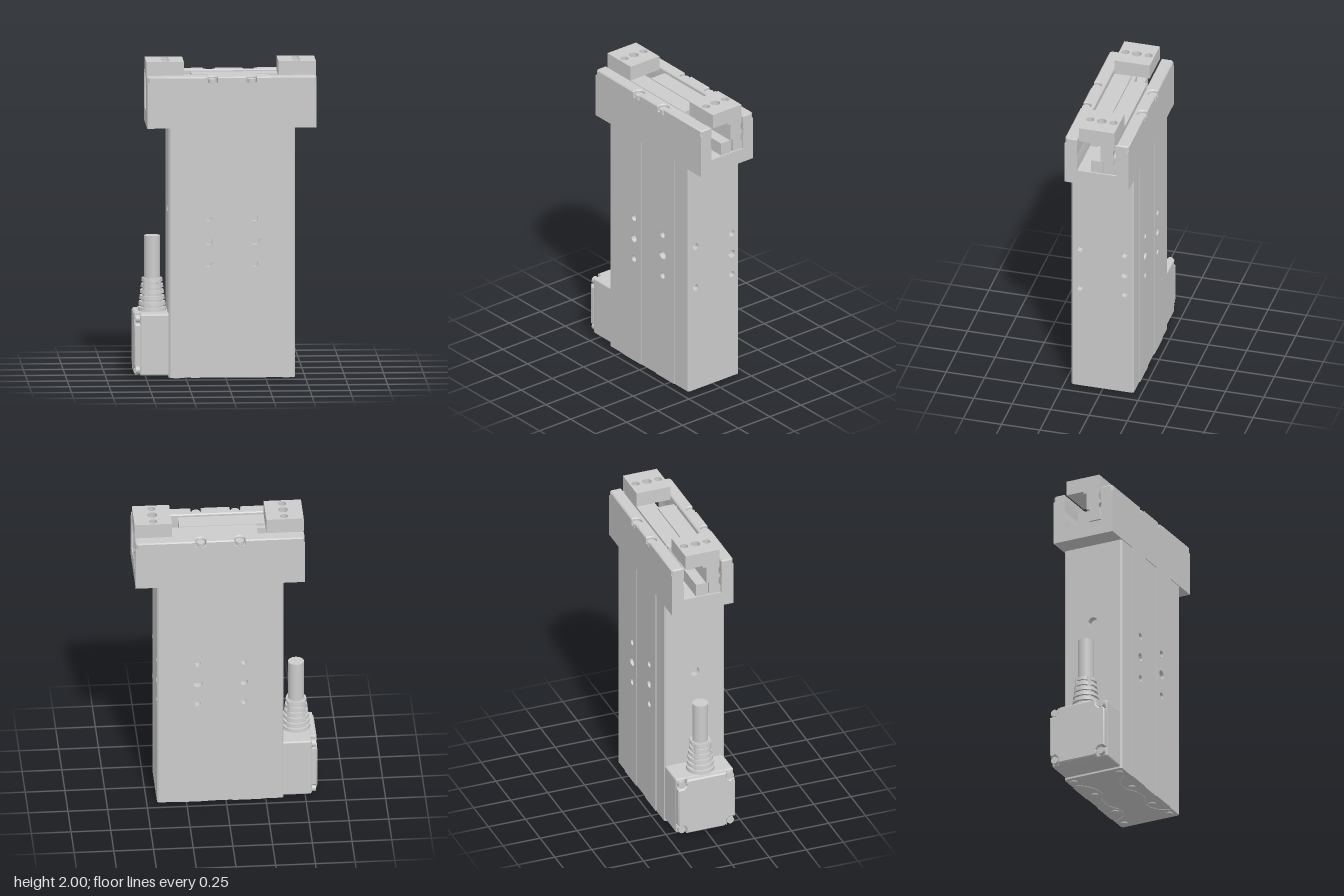
import * as THREE from 'three';
import { toCreasedNormals } from 'three/addons/utils/BufferGeometryUtils.js';
import { RoundedBoxGeometry } from 'three/addons/geometries/RoundedBoxGeometry.js';

const grey = new THREE.MeshStandardMaterial({ color: 0xcccccc });

const polygon = (pts) => new THREE.Shape(pts.map(([x, y]) => new THREE.Vector2(x, y)));

const rect = (x0, y0, x1, y1) => polygon([[x0, y0], [x1, y0], [x1, y1], [x0, y1]]);

// Extrude with an optional chamfer that stays inside the outline
function extrude(shape, depth, bevel = 0) {
  const geo = new THREE.ExtrudeGeometry(shape, {
    depth: depth - 2 * bevel, curveSegments: 16, bevelEnabled: bevel > 0,
    bevelSize: bevel, bevelThickness: bevel, bevelOffset: -bevel, bevelSegments: 1,
  });
  return toCreasedNormals(geo.translate(0, 0, bevel), 0.6);
}

// Outline in (x, -z), pushed up from y0 to y1
const alongY = (shape, y0, y1, bevel) =>
  extrude(shape, y1 - y0, bevel).rotateX(-Math.PI / 2).translate(0, y0, 0);

// Outline in (-z, y), pushed along x from x0 to x1
const alongX = (shape, x0, x1, bevel) =>
  extrude(shape, x1 - x0, bevel).rotateY(Math.PI / 2).translate(x0, 0, 0);

function withHoles(shape, holes) {
  for (const [x, y, rx, ry = rx] of holes) {
    shape.holes.push(new THREE.Path().absellipse(x, y, rx, ry, 0, Math.PI * 2, true));
  }
  return shape;
}

export function createModel() {
  const model = new THREE.Group();
  const add = (name, geo, parent = model) => {
    const mesh = new THREE.Mesh(geo, grey);
    mesh.name = name;
    parent.add(mesh);
    return mesh;
  };
  const box = (name, x0, x1, y0, y1, z0, z1) =>
    add(name, new THREE.BoxGeometry(x1 - x0, y1 - y0, z1 - z0)
      .translate((x0 + x1) / 2, (y0 + y1) / 2, (z0 + z1) / 2));
  const cylinder = (name, r0, r1, y0, y1, x, z, sides = 24) =>
    add(name, new THREE.CylinderGeometry(r1, r0, y1 - y0, sides).translate(x, (y0 + y1) / 2, z));

  // Body column, with channels that take the drilled strips
  const base = 0.008, bodyTop = 1.59;
  const half = [
    [0.435, 0.115], [0.395, 0.115], [0.395, 0.175], [0.435, 0.175], [0.435, 0.193], [0.425, 0.203],
    [0.3, 0.203], [0.3, 0.165], [0.115, 0.165], [0.115, 0.203], [-0.04, 0.203], [-0.04, 0.165],
    [-0.22, 0.165], [-0.22, 0.203], [-0.35, 0.203], [-0.36, 0.193], [-0.36, 0.05], [-0.32, 0.05],
  ];
  const mirrored = half.map(([x, p]) => [x, -p]).reverse();
  add('body', alongY(polygon([...half, ...mirrored]), base, bodyTop));

  // Drilled strips on front, back and sides
  const drilled = (x, slot) => [[x, 1.02, 0.021], [x, 0.875, slot ? 0.031 : 0.026, 0.026], [x, 0.73, 0.021]];
  for (const z0 of [0.165, -0.208]) {
    for (const [x0, x1, hx, slot] of [[-0.22, -0.04, -0.11, false], [0.115, 0.3, 0.18, true]]) {
      const pad = withHoles(rect(x0, base, x1, bodyTop), drilled(hx, slot));
      add('mountingPad', extrude(pad, 0.043).translate(0, 0, z0));
    }
  }
  for (const s of [-1, 1]) {
    const strip = withHoles(rect(s * 0.145 - 0.03, base, s * 0.145 + 0.03, bodyTop), drilled(s * 0.145, s < 0));
    add('sideStrip', alongX(strip, 0.395, 0.435));
  }
  add('motorSideStrip', alongX(withHoles(rect(-0.05, base, 0.05, bodyTop), [[0, 1.06, 0.032]]), -0.36, -0.32));

  // Underside screws and seal lines
  for (const s of [-1, 1]) {
    for (const x of [0.38, 0.2, -0.08, -0.31]) {
      cylinder('baseScrew', 0.022, 0.025, 0, base + 0.002, x, s * (x === 0.2 || x === -0.08 ? 0.13 : 0.16));
    }
    const path = new THREE.CatmullRomCurve3([
      [0.33, 0.19], [0.29, 0.12], [0.2, 0.09], [0.1, 0.13], [0.0, 0.12], [-0.08, 0.08], [-0.18, 0.1], [-0.26, 0.17],
    ].map(([x, z]) => new THREE.Vector3(x, base, s * z)));
    add('baseSeal', new THREE.TubeGeometry(path, 48, 0.005, 6));
  }

  // Gripper head: a channel along x
  const x0 = -0.495, x1 = 0.57, floor = 1.685, wallTop = 1.875;
  add('headChannel', alongX(polygon([
    [-0.208, 1.59], [0.208, 1.59], [0.208, wallTop], [0.127, wallTop], [0.127, 1.84], [0.132, 1.81], [0.127, 1.78],
    [0.127, floor], [-0.127, floor], [-0.127, 1.78], [-0.132, 1.81], [-0.127, 1.84], [-0.127, wallTop], [-0.208, wallTop],
  ]), x0, x1));

  // Wall caps with round-ended screw notches
  const notches = [-0.085, 0.162];
  for (const s of [-1, 1]) {
    const cap = new THREE.Shape().moveTo(x0, -0.195);
    cap.lineTo(x0 + 0.013, -0.208);
    for (const x of notches) {
      cap.lineTo(x - 0.033, -0.208).lineTo(x - 0.033, -0.185);
      cap.absarc(x, -0.185, 0.033, Math.PI, 0, true);
      cap.lineTo(x + 0.033, -0.208);
    }
    cap.lineTo(x1 - 0.013, -0.208).lineTo(x1, -0.195).lineTo(x1, -0.127).lineTo(x0, -0.127);
    const geo = alongY(cap, wallTop - 0.007, 1.915, 0.007);
    if (s < 0) geo.rotateY(Math.PI).translate(x0 + x1, 0, 0);
    add('wallCap', geo);
    for (const x of notches) {
      cylinder('wallScrew', 0.027, 0.027, wallTop - 0.01, 1.9, s < 0 ? x0 + x1 - x : x, s * 0.182);
    }
  }

  // Guide rib and centre rail inside the channel
  box('guideRib', x0 + 0.01, x1 - 0.01, floor, 1.77, -0.04, 0.04);
  box('centreRail', -0.3, 0.38, 1.77, 1.885, -0.02, 0.02);

  // Opposed sliders, each carrying one finger
  const profile = [
    [0.045, 1.692], [0.12, 1.692], [0.12, 1.74], [0.108, 1.76], [0.108, 1.79], [0.122, 1.81], [0.108, 1.83], [0.108, 1.86],
    [0.115, 1.88], [0.115, 1.903], [0.003, 1.903], [0.003, 1.89], [0.025, 1.89], [0.025, 1.775], [0.045, 1.775],
  ];
  for (const [s, sx0, sx1, fx0, fx1, hx] of [
    [1, x0, 0.28, x0, -0.26, -0.373], [-1, -0.205, x1, 0.335, x1, 0.45],
  ]) {
    add('slider', alongX(polygon(profile.map(([z, y]) => [-s * z, y])), sx0, sx1));
    box('fingerBase', fx0, fx1, 1.905, 1.96, -0.115, 0.115);
    box('fingerFoot', fx0, fx1, 1.9, 1.906, s > 0 ? 0.003 : -0.115, s > 0 ? 0.115 : -0.003);
    const top = withHoles(rect(fx0, -0.115, fx1, 0.115), [[hx, 0.077, 0.025], [hx, 0, 0.03], [hx, -0.075, 0.025]]);
    add('fingerTop', alongY(top, 1.96, 2));
    for (const px of [sx0 + 0.03, sx1 - 0.025]) {
      box('sliderPin', px - 0.004, px + 0.004, 1.86, 1.9, s > 0 ? 0.112 : -0.125, s > 0 ? 0.125 : -0.112);
    }
  }

  // Motor housing with a corner-notched end cover
  add('motorHousing', new RoundedBoxGeometry(0.2, 0.39, 0.39, 3, 0.012).translate(-0.44, 0.215, -0.003));
  const cover = new THREE.Shape();
  const w = 0.193, n = 0.135;
  for (let i = 0; i < 4; i++) {
    const a = i * Math.PI / 2;
    const turn = (x, y) => [x * Math.cos(a) - y * Math.sin(a), x * Math.sin(a) + y * Math.cos(a)];
    const corner = [[w - 0.012, -n], [w, -n + 0.012], [w, n], [n + 0.02, n], [n, n + 0.02], [n, w]];
    corner.forEach((p, k) => (i + k === 0 ? cover.moveTo(...turn(...p)) : cover.lineTo(...turn(...p))));
  }
  add('motorCover', alongX(cover, -0.575, -0.53, 0.008).translate(0, 0.215, -0.003));
  for (const y of [-0.163, 0.163]) {
    for (const z of [-0.163, 0.163]) {
      add('motorScrew', new THREE.CylinderGeometry(0.024, 0.024, 0.03, 20)
        .rotateZ(Math.PI / 2).translate(-0.552, 0.215 + y, z - 0.003));
    }
  }

  // Cable with ribbed strain relief
  const cx = -0.455;
  cylinder('cable', 0.05, 0.05, 0.4, 0.885, cx, 0, 32);
  cylinder('reliefCore', 0.07, 0.055, 0.405, 0.62, cx, 0, 32);
  for (let i = 0; i < 6; i++) {
    const y = 0.41 + i * 0.037, r = 0.09 - i * 0.0045;
    cylinder('reliefRing', r, r - 0.003, y, y + 0.022, cx, 0, 32);
  }
  for (let i = 0; i < 4; i++) {
    const a = i * Math.PI / 2 + Math.PI / 4;
    add('reliefStrut', new THREE.CylinderGeometry(0.016, 0.02, 0.2, 8)
      .translate(cx + 0.056 * Math.cos(a), 0.515, 0.056 * Math.sin(a)));
  }
  return model;
}
